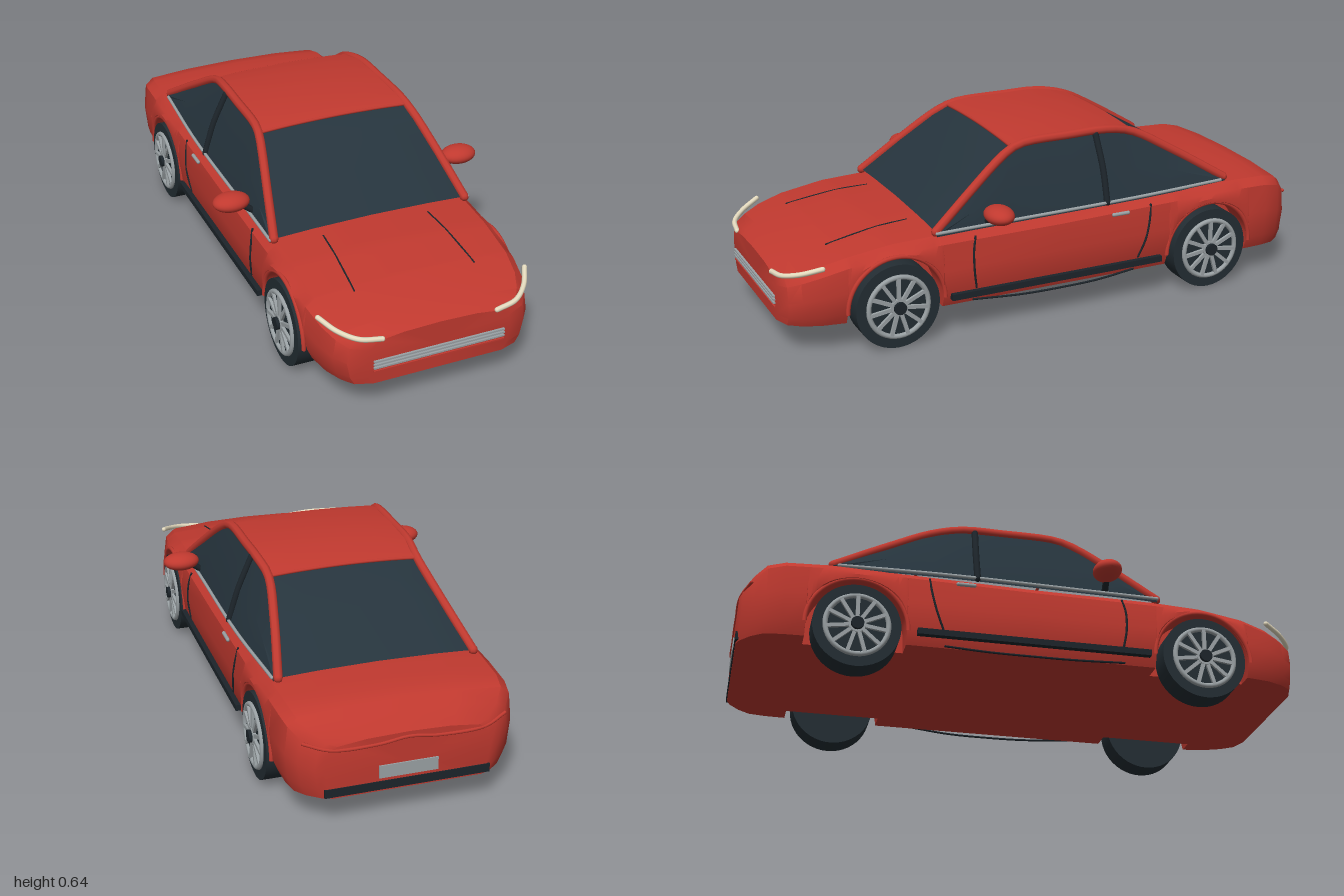
import * as THREE from 'three';
import { mergeGeometries, toCreasedNormals } from 'three/addons/utils/BufferGeometryUtils.js';

const mat = (name, color) => Object.assign(new THREE.MeshStandardMaterial({ color }), { name });
const V = (x, y, z) => new THREE.Vector3(x, y, z);
const lerp = THREE.MathUtils.lerp;

// Linear interpolation in a table whose first column is z, descending
function sample(table, z) {
  let i = 0;
  while (i < table.length - 2 && table[i + 1][0] > z) i++;
  const a = table[i], b = table[i + 1];
  const t = THREE.MathUtils.clamp((z - a[0]) / (b[0] - a[0]), 0, 1);
  return a.map((v, k) => lerp(v, b[k], t));
}

// Skin sections that run front to back; each runs right-hand round seen from the front
function loft(sections, closed, crease) {
  const pos = [], n = sections[0].length;
  const tri = (...p) => p.forEach(v => pos.push(v.x, v.y, v.z));
  for (let j = 0; j < sections.length - 1; j++) {
    for (let i = 0; i < (closed ? n : n - 1); i++) {
      const k = (i + 1) % n, A = sections[j], B = sections[j + 1];
      tri(A[i], B[i], B[k]);
      tri(A[i], B[k], A[k]);
    }
  }
  if (closed) {
    for (const [s, front] of [[sections[0], true], [sections[sections.length - 1], false]]) {
      const c = V(0, 0.2, s[0].z);
      s.forEach((p, i) => {
        const q = s[(i + 1) % n];
        front ? tri(c, p, q) : tri(c, q, p);
      });
    }
  }
  const g = new THREE.BufferGeometry();
  g.setAttribute('position', new THREE.Float32BufferAttribute(pos, 3));
  return toCreasedNormals(g, crease);
}

// Round rod with ball ends along a smooth path
function rod(points, r) {
  const curve = new THREE.CatmullRomCurve3(points);
  const ends = [points[0], points[points.length - 1]].map(p =>
    new THREE.SphereGeometry(r, 8, 6).translate(p.x, p.y, p.z));
  return mergeGeometries([new THREE.TubeGeometry(curve, 32, r, 8), ...ends]);
}

// Body outline: z, half width, height of the upper edge
const BODY = [
  [0.99, 0.26, 0.275], [0.97, 0.32, 0.285], [0.93, 0.35, 0.30], [0.87, 0.375, 0.32],
  [0.78, 0.39, 0.343], [0.62, 0.396, 0.367], [0.45, 0.40, 0.373], [0, 0.40, 0.376],
  [-0.45, 0.40, 0.386], [-0.7, 0.40, 0.392], [-0.85, 0.395, 0.388], [-0.91, 0.385, 0.375],
  [-0.95, 0.355, 0.345], [-0.985, 0.31, 0.31], [-0.995, 0.28, 0.30]];
const WHEEL_Z = [0.615, -0.605], WHEEL_Y = 0.15, ARCH = 0.17, FLOOR = 0.107;

function bodySection(z, sill) {
  const [, w, top] = sample(BODY, z);
  const shoulder = top - 0.035, inner = Math.min(0.3, w - 0.03);
  const side = y => w - 0.2 * Math.max(0, 0.2 - y);
  const y1 = lerp(sill, shoulder, 0.2), y2 = lerp(sill, shoulder, 0.6);
  const half = [
    [inner, FLOOR], [inner, sill], [side(sill) - 0.01, sill], [side(y1), y1], [side(y2), y2],
    [w - 0.01, shoulder], [w - 0.04, top - 0.008], [w * 0.5, top + 0.004]];
  return [V(0, FLOOR, z), ...half.map(([x, y]) => V(x, y, z)), V(0, top + 0.008, z),
    ...half.reverse().map(([x, y]) => V(-x, y, z))];
}

function bodyGeometry() {
  const stations = BODY.map(r => [r[0], FLOOR])
    .filter(([z]) => WHEEL_Z.every(c => Math.abs(z - c) > ARCH));
  for (const c of WHEEL_Z) {
    stations.push([c + ARCH + 0.001, FLOOR], [c - ARCH - 0.001, FLOOR]);
    for (let i = 0; i <= 20; i++) {
      const a = Math.PI * i / 20;
      stations.push([c + ARCH * Math.cos(a), WHEEL_Y + ARCH * Math.sin(a)]);
    }
  }
  stations.sort((a, b) => b[0] - a[0]);
  return loft(stations.map(([z, y]) => bodySection(z, y)), true, 0.6);
}

// Roof rail, windscreen foot to rear window foot: z, x, y
const RAIL = [
  [0.46, 0.36, 0.378], [0.32, 0.327, 0.487], [0.2, 0.298, 0.575], [0.14, 0.285, 0.608],
  [0.09, 0.28, 0.62], [-0.08, 0.278, 0.623], [-0.23, 0.275, 0.622], [-0.34, 0.268, 0.598],
  [-0.5, 0.296, 0.512], [-0.69, 0.34, 0.397]];
const beltY = z => lerp(0.38, 0.395, (0.46 - z) / 1.15);
const beltX = z => (z > -0.3 ? 0.372 : lerp(0.372, 0.352, (-0.3 - z) / 0.39));

// Curved strip from rail to rail
const across = ([z, x, y], lift) => [1, 0.6, 0, -0.6, -1].map(t => V(x * t, y + lift + 0.01 * (1 - t * t), z));

function cabinSection(r) {
  const [z, x, y] = r;
  const bx = beltX(z), by = Math.min(beltY(z), y) - 0.015;
  const side = s => [V(s * bx, by, z), V(s * ((x + bx) / 2 + 0.008), (y + by) / 2, z)];
  return [...side(1), ...across(r, 0), ...side(-1).reverse()];
}

export function createModel() {
  const car = new THREE.Group();
  car.name = 'car';
  const red = mat('red paint', 0xc0392f), glass = mat('dark glass', 0x26343d);
  const black = mat('black trim', 0x1c242a), tyreMat = mat('tyre rubber', 0x232d33);
  const silver = mat('silver', 0x9aa1a4), cream = mat('lamp cream', 0xe6dcc0);

  const add = (name, geo, material, parent = car) => {
    const m = new THREE.Mesh(geo, material);
    m.name = name;
    parent.add(m);
    return m;
  };
  const box = (w, h, d, x, y, z) => new THREE.BoxGeometry(w, h, d).translate(x, y, z);

  // Body, cabin and roof
  add('body', bodyGeometry(), red);
  add('cabinGlass', loft(RAIL.map(cabinSection), false, 0.5), glass);
  add('roof', loft(RAIL.slice(3, 8).map(r => across(r, 0.008)), false, 0.6), red);
  for (const [z, i] of [[0.14, 3], [-0.34, 7]])
    add('roofEdge', rod(across(RAIL[i], 0.002), 0.006), red).userData.z = z;

  // Front and rear details
  for (const y of [0.193, 0.181, 0.169])
    add('grilleBar', box(0.47, 0.006, 0.02, 0, y, 0.988), silver);
  add('grilleLowerBar', box(0.47, 0.005, 0.016, 0, 0.155, 0.988), red);
  add('rearBumper', box(0.56, 0.03, 0.02, 0, 0.128, -0.988), black);
  add('rearPlate', box(0.2, 0.045, 0.008, 0, 0.178, -0.996), silver);
  add('tailRidge', rod([V(-0.34, 0.3, -0.96), V(-0.26, 0.28, -0.99), V(-0.1, 0.278, -0.994),
    V(0, 0.29, -0.994), V(0.1, 0.278, -0.994), V(0.26, 0.28, -0.99), V(0.34, 0.3, -0.96)], 0.006), red);

  for (const s of [1, -1]) {
    const P = (x, y, z) => V(s * x, y, z);

    // Pillars and roof rail
    add('pillarRail', rod(RAIL.map(([z, x, y]) => P(x, y, z)), 0.016), red);
    add('middlePillar', rod([P(0.372, 0.385, -0.19), P(0.336, 0.5, -0.19), P(0.287, 0.61, -0.185)], 0.012), black);
    add('beltTrim', rod([0.46, 0.2, -0.3, -0.67].map(z => P(beltX(z) + 0.002, beltY(z) - 0.004, z)), 0.006), silver);

    // Lamps and bonnet creases
    add('headlamp', rod([P(0.205, 0.272, 0.989), P(0.28, 0.282, 0.976), P(0.335, 0.298, 0.93),
      P(0.374, 0.32, 0.865)], 0.009), cream);
    add('bonnetCrease', rod([0.5, 0.6, 0.7, 0.8].map((z, i) =>
      P(0.197 + 0.007 * i, sample(BODY, z)[2] + 0.003, z)), 0.003), black);

    // Door seams, handle and sill
    add('frontDoorSeam', rod([P(0.386, 0.348, 0.325), P(0.396, 0.3, 0.335), P(0.4, 0.23, 0.335),
      P(0.392, 0.165, 0.325)], 0.004), black);
    add('rearDoorSeam', rod([P(0.386, 0.355, -0.36), P(0.396, 0.3, -0.352), P(0.4, 0.23, -0.335),
      P(0.392, 0.165, -0.31)], 0.004), black);
    add('lowerDoorSeam', rod([P(0.375, 0.113, 0.33), P(0.384, 0.102, 0.15), P(0.386, 0.1, 0),
      P(0.384, 0.102, -0.15), P(0.375, 0.113, -0.3)], 0.004), black);
    add('sillStrip', box(0.022, 0.022, 0.82, s * 0.398, 0.147, 0.01), black);
    add('doorHandle', rod([P(0.396, 0.343, -0.205), P(0.396, 0.343, -0.262)], 0.007), silver);

    // Door mirror
    add('mirrorArm', rod([P(0.365, 0.39, 0.27), P(0.41, 0.425, 0.265)], 0.012), black);
    add('mirror', new THREE.SphereGeometry(1, 28, 18).scale(0.066, 0.032, 0.05)
      .translate(s * 0.437, 0.433, 0.26), red);

    for (const z of WHEEL_Z) {
      add('archLip', new THREE.TorusGeometry(ARCH + 0.005, 0.008, 8, 32, Math.PI)
        .rotateY(Math.PI / 2).translate(s * 0.391, WHEEL_Y, z), red);

      // Wheel, built facing +x
      const wheel = new THREE.Group();
      wheel.name = 'wheel';
      wheel.position.set(s * 0.355, WHEEL_Y, z);
      wheel.rotation.y = s > 0 ? 0 : Math.PI;
      car.add(wheel);
      add('tyre', new THREE.CylinderGeometry(0.15, 0.15, 0.09, 48).rotateZ(Math.PI / 2), tyreMat, wheel);
      add('rim', new THREE.TorusGeometry(0.107, 0.009, 8, 40).rotateY(Math.PI / 2).translate(0.047, 0, 0), silver, wheel);
      for (let i = 0; i < 11; i++)
        add('spoke', box(0.012, 0.085, 0.013, 0.049, 0.062, 0).rotateX(i * Math.PI * 2 / 11), silver, wheel);
      add('hubRing', new THREE.CylinderGeometry(0.03, 0.03, 0.014, 24).rotateZ(Math.PI / 2).translate(0.05, 0, 0), silver, wheel);
      add('hubCap', new THREE.CylinderGeometry(0.022, 0.022, 0.03, 24).rotateZ(Math.PI / 2).translate(0.053, 0, 0), black, wheel);
    }
  }
  return car;
}
